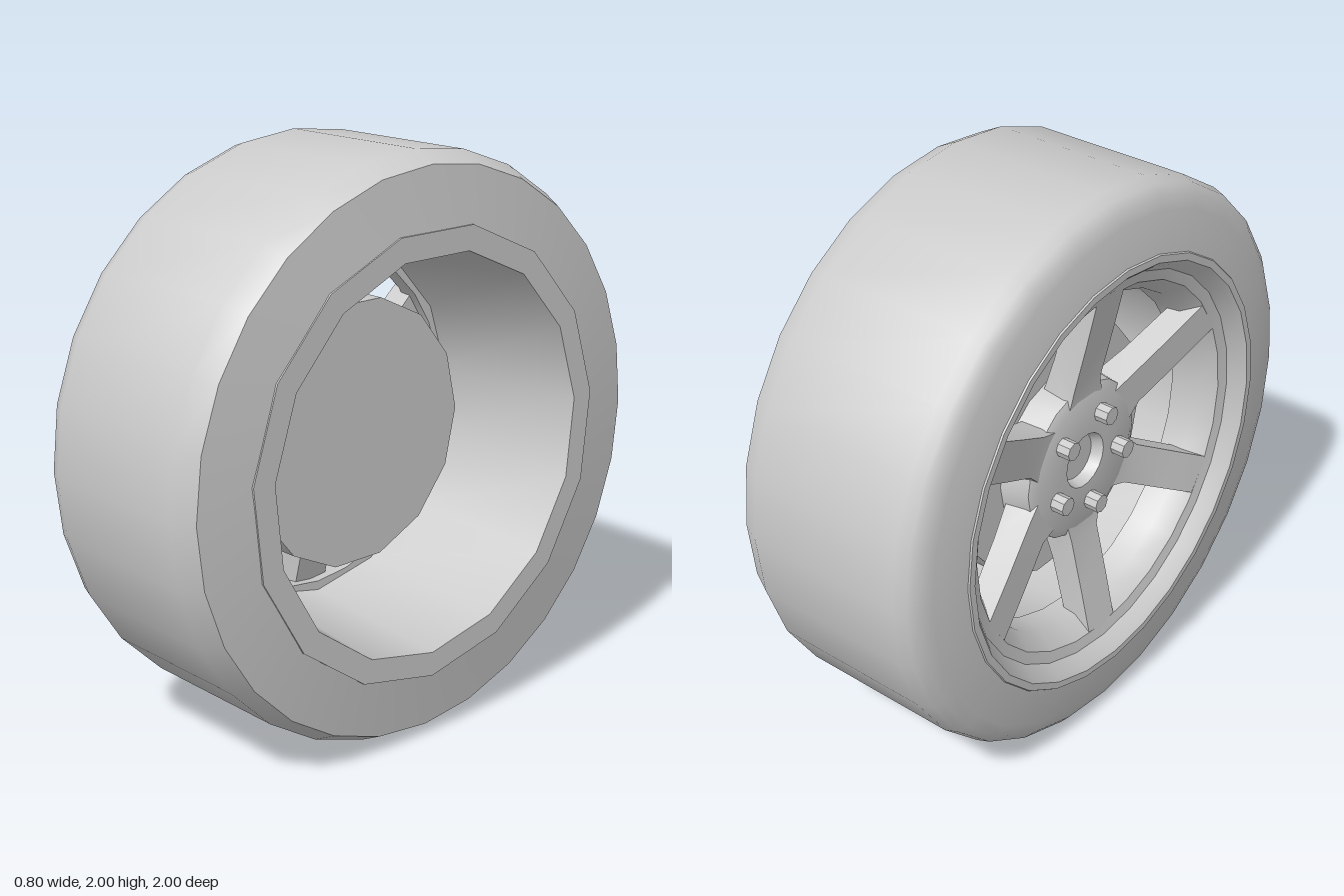
import * as THREE from 'three';
import { toCreasedNormals } from 'three/addons/utils/BufferGeometryUtils.js';

const CREASE = 0.65;

export function createModel() {
  const model = new THREE.Group();
  model.name = 'wheel';
  const grey = new THREE.MeshStandardMaterial({ color: 0xcccccc });
  grey.name = 'light grey';

  // wheel centre; every part is built around the x axis
  const wheel = new THREE.Group();
  wheel.name = 'wheelAssembly';
  wheel.position.y = 1;
  model.add(wheel);

  function add(geometry, name, parent = wheel) {
    const mesh = new THREE.Mesh(toCreasedNormals(geometry, CREASE), grey);
    mesh.name = name;
    parent.add(mesh);
    return mesh;
  }

  // turned part from [x, radius] pairs, running from -x to +x on the outside
  function turned(name, profile, sides, start = 0) {
    const points = profile.map(([x, r]) => new THREE.Vector2(r, x));
    const geometry = new THREE.LatheGeometry(points, sides, start);
    geometry.rotateZ(-Math.PI / 2);
    return add(geometry, name);
  }

  // tyre: soft shoulder on the outer face, crisp one on the inner face
  turned('tyre', [
    [-0.36, 0.74], [-0.395, 0.77], [-0.375, 0.91], [-0.36, 0.955], [-0.335, 0.985], [-0.29, 1],
    [0.29, 1], [0.37, 0.96], [0.397, 0.74], [0.3, 0.74],
  ], 28);

  // outer rim: lip, step and ring that carries the spokes
  turned('outerRim', [
    [-0.18, 0.6], [-0.27, 0.61], [-0.335, 0.66], [-0.345, 0.7], [-0.385, 0.73], [-0.4, 0.745],
    [-0.4, 0.77], [-0.375, 0.785], [-0.3, 0.75], [-0.18, 0.65], [-0.18, 0.6],
  ], 28);

  // barrel: open tapered drum with a flat flange at the back
  turned('barrel', [
    [-0.22, 0.63], [-0.22, 0.66], [0.32, 0.72], [0.36, 0.77], [0.4, 0.77], [0.4, 0.685], [-0.22, 0.63],
  ], 15, Math.PI / 2);

  // brake drum behind the spokes (flat at top and bottom)
  turned('brakeDrum', [[-0.13, 0], [-0.13, 0.47], [0.03, 0.47], [0.03, 0]], 14);

  // hub with a recessed centre
  turned('hub', [
    [-0.21, 0], [-0.21, 0.085], [-0.25, 0.1], [-0.25, 0.25], [-0.235, 0.285], [-0.12, 0.3],
  ], 18);

  // six spokes, rising from the hub towards the rim lip
  const side = new THREE.Shape([
    [0.2, -0.12], [0.2, -0.245], [0.3, -0.252], [0.5, -0.3], [0.67, -0.338], [0.67, -0.24], [0.4, -0.17],
  ].map(([r, x]) => new THREE.Vector2(x, r)));
  for (let i = 0; i < 6; i++) {
    const geometry = new THREE.ExtrudeGeometry(side, { depth: 0.14, bevelEnabled: false });
    geometry.translate(0, 0, -0.07);
    // slight flare at the hub end
    const p = geometry.attributes.position;
    for (let v = 0; v < p.count; v++) {
      if (p.getY(v) < 0.25) p.setZ(v, p.getZ(v) * 1.35);
    }
    const spoke = add(geometry, 'spoke');
    spoke.rotation.x = (i * Math.PI) / 3;
  }

  // five wheel bolts
  for (let i = 0; i < 5; i++) {
    const a = ((-8 + 72 * i) * Math.PI) / 180;
    const geometry = new THREE.CylinderGeometry(0.033, 0.033, 0.07, 8);
    geometry.rotateZ(Math.PI / 2);
    const bolt = add(geometry, 'wheelBolt');
    bolt.position.set(-0.265, 0.175 * Math.sin(a), 0.175 * Math.cos(a));
  }

  return model;
}
